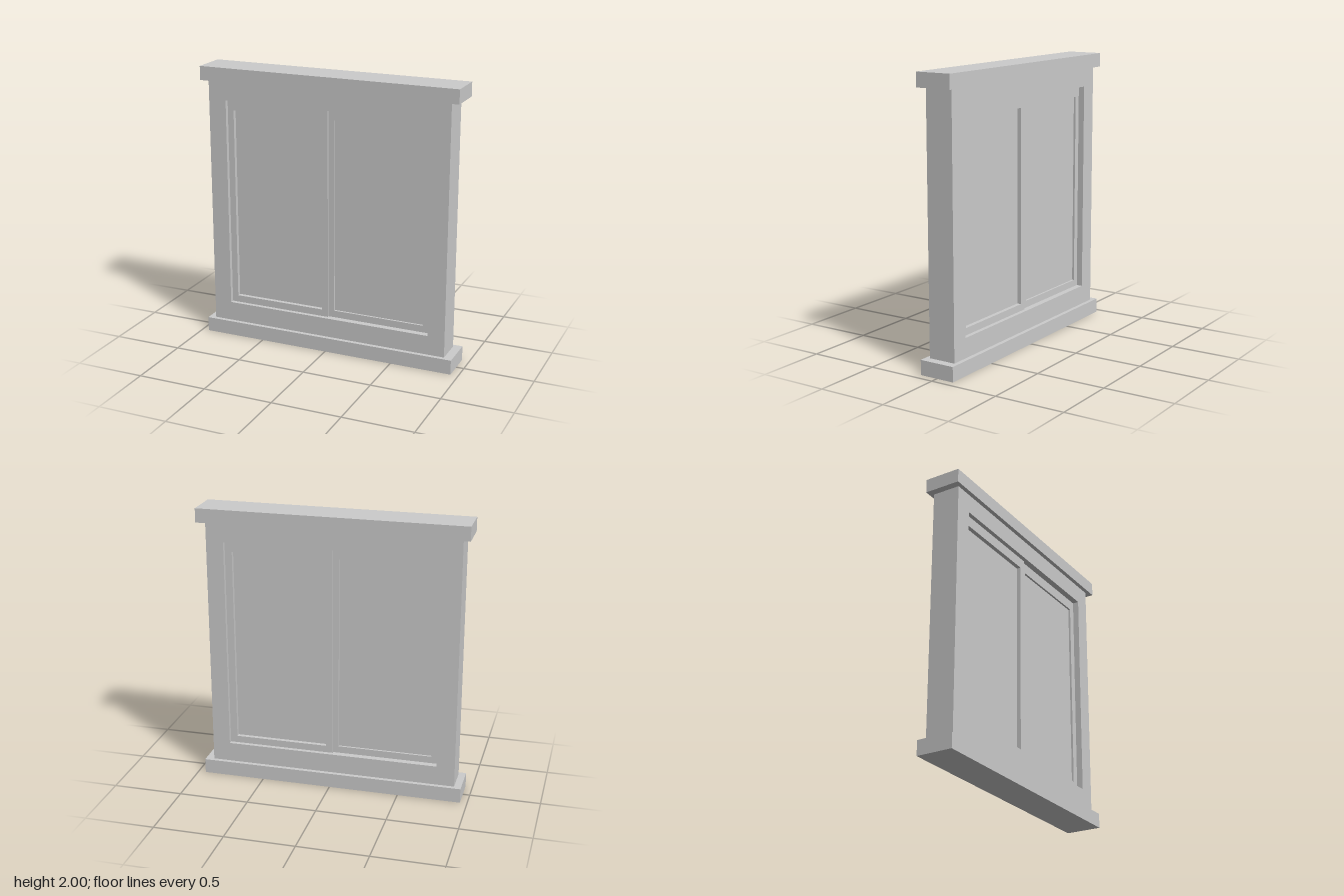
import * as THREE from 'three';

const material = new THREE.MeshStandardMaterial({ color: 0xcccccc, flatShading: true });

// Box given by its limits on each axis
function box(name, [x0, x1], [y0, y1], [z0, z1]) {
  const mesh = new THREE.Mesh(new THREE.BoxGeometry(x1 - x0, y1 - y0, z1 - z0), material);
  mesh.position.set((x0 + x1) / 2, (y0 + y1) / 2, (z0 + z1) / 2);
  mesh.name = name;
  return mesh;
}

// Rectangular ring: outer limits, inner limits, depth range
function ring(name, [ox0, ox1, oy0, oy1], [ix0, ix1, iy0, iy1], [z0, z1]) {
  const corners = (x0, x1, y0, y1) => [
    new THREE.Vector2(x0, y0), new THREE.Vector2(x1, y0),
    new THREE.Vector2(x1, y1), new THREE.Vector2(x0, y1),
  ];
  const shape = new THREE.Shape(corners(ox0, ox1, oy0, oy1));
  shape.holes.push(new THREE.Path(corners(ix0, ix1, iy0, iy1).reverse()));
  const geometry = new THREE.ExtrudeGeometry(shape, { depth: z1 - z0, bevelEnabled: false });
  const mesh = new THREE.Mesh(geometry, material);
  mesh.position.z = z0;
  mesh.name = name;
  return mesh;
}

export function createModel() {
  const group = new THREE.Group();
  group.name = 'slidingWindow';

  // Sill and head boards
  group.add(box('sill', [-0.95, 0.945], [0, 0.105], [-0.13, 0.13]));
  group.add(box('head', [-0.95, 0.945], [1.9, 2], [-0.13, 0.13]));

  // Outer frame around the opening
  group.add(ring('outerFrame', [-0.9, 0.885, 0.105, 1.9], [-0.77, 0.76, 0.245, 1.765], [-0.1, 0.1]));

  // Two sliding sashes, one set slightly forward and one slightly back
  const sashes = [
    { name: 'rightSash', outer: [-0.77, -0.003], inner: [-0.725, -0.05], depth: [-0.055, 0.07] },
    { name: 'leftSash', outer: [-0.01, 0.76], inner: [0.04, 0.71], depth: [-0.07, 0.055] },
  ];
  for (const { name, outer, inner, depth } of sashes) {
    const sash = new THREE.Group();
    sash.name = name;
    sash.add(ring('sashFrame', [...outer, 0.245, 1.765], [...inner, 0.295, 1.69], depth));
    sash.add(box('pane', inner, [0.295, 1.69], [-0.04, 0.04]));
    group.add(sash);
  }
  return group;
}
